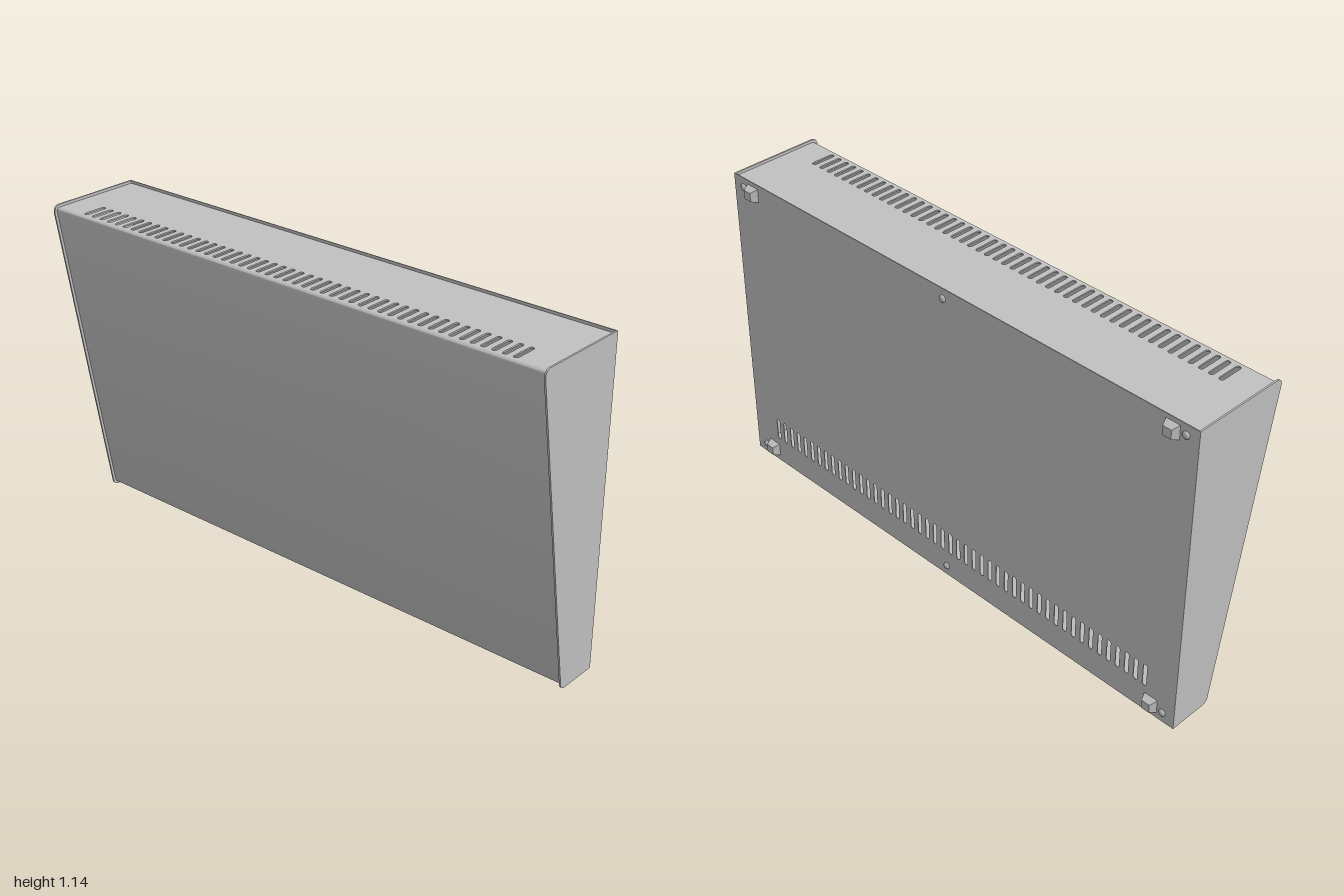
import * as THREE from 'three';
import { toCreasedNormals } from 'three/addons/utils/BufferGeometryUtils.js';

const H = 1.145, BACK = -0.163, R = 0.022;      // height, back plane, corner radius
const SIDE_T = 0.006, INSET = 0.01, WALL = 0.005; // cheek thickness, shell inset and gauge
const TILT = Math.atan(0.1755);                 // lean of the front
const topC = { z: 0.168, y: H - R };            // centres of the two rounded corners
const botC = { z: -0.025, y: R };

export function createModel() {
  const model = new THREE.Group();
  model.name = 'slopedWallCabinet';
  const metal = new THREE.MeshStandardMaterial({ color: 0xc0c0c0 });
  metal.name = 'greyMetal';
  const thinMetal = new THREE.MeshStandardMaterial({ color: 0xc0c0c0, side: THREE.DoubleSide });
  thinMetal.name = 'greyMetalThin';

  const add = (name, geometry, material = metal) => {
    const mesh = new THREE.Mesh(geometry, material);
    mesh.name = name;
    model.add(mesh);
    return mesh;
  };

  // Points down the leaning front, offset inward, from the top corner to the bottom corner
  const frontPoints = (inset) => {
    const pts = [];
    const arc = (c, from, to) => {
      for (let i = 0; i <= 10; i++) {
        const a = from + (to - from) * i / 10;
        pts.push(new THREE.Vector2(c.z + (R - inset) * Math.cos(a), c.y + (R - inset) * Math.sin(a)));
      }
    };
    arc(topC, Math.PI / 2, -TILT);
    arc(botC, -TILT, -Math.PI / 2);
    return pts;
  };

  // Extrudes a (z, y) profile across x, centred on x = 0
  const across = (points, width) => {
    const g = new THREE.ExtrudeGeometry(new THREE.Shape(points), { depth: width, bevelEnabled: false });
    g.rotateY(-Math.PI / 2).translate(width / 2, 0, 0);
    return toCreasedNormals(g, 0.5);
  };

  // Flat plate with a row of round-ended vent slots
  const ventPlate = (halfW, v0, v1, slot0, slot1, slotW, depth) => {
    const s = new THREE.Shape();
    s.moveTo(-halfW, v0).lineTo(halfW, v0).lineTo(halfW, v1).lineTo(-halfW, v1).closePath();
    const r = slotW / 2, count = 48;
    for (let i = 0; i < count; i++) {
      const x = -0.875 + 1.75 * i / (count - 1);
      const hole = new THREE.Path();
      hole.moveTo(x + r, slot0 + r);
      hole.lineTo(x + r, slot1 - r);
      hole.absarc(x, slot1 - r, r, 0, Math.PI, false);
      hole.lineTo(x - r, slot0 + r);
      hole.absarc(x, slot0 + r, r, Math.PI, 2 * Math.PI, false);
      s.holes.push(hole);
    }
    return new THREE.ExtrudeGeometry(s, { depth, bevelEnabled: false, curveSegments: 5 });
  };

  // Side cheeks, standing slightly proud of the shell
  const cheek = [new THREE.Vector2(BACK, H), ...frontPoints(0), new THREE.Vector2(BACK, 0)];
  for (const side of [1, -1]) {
    add(side > 0 ? 'leftCheek' : 'rightCheek', across(cheek, SIDE_T)).position.x = side * (1 - SIDE_T / 2);
  }

  // Bent sheet forming the front, its rounded corners and the bottom
  const innerW = 2 - 2 * SIDE_T;
  add('frontAndBottomShell', across([
    ...frontPoints(INSET),
    new THREE.Vector2(BACK, INSET),
    new THREE.Vector2(BACK, INSET + WALL),
    ...frontPoints(INSET + WALL).reverse(),
  ], innerW));

  // Vented top
  const top = ventPlate(innerW / 2, BACK, topC.z, 0.07, 0.16, 0.017, WALL);
  add('ventedTop', top.rotateX(Math.PI / 2)).position.y = H - INSET;

  // Vented back panel, rising to form lips above the top and below the bottom
  add('ventedBack', ventPlate(1, 0, H, 0.1, 0.187, 0.016, 0.003)).position.z = BACK - 0.003;

  // Tapered hanging bracket, open underneath
  const bracketGeometry = () => {
    const ring = (w, h, z) => [[-w, -h, z], [w, -h, z], [w, h, z], [-w, h, z]];
    const p = [...ring(0.026, 0.025, 0), ...ring(0.016, 0.016, -0.025)];
    const quads = [[1, 2, 6, 5], [2, 3, 7, 6], [3, 0, 4, 7], [4, 5, 6, 7]];
    const pos = quads.flatMap(([a, b, c, d]) => [a, c, b, a, d, c].flatMap((i) => p[i]));
    const g = new THREE.BufferGeometry();
    g.setAttribute('position', new THREE.Float32BufferAttribute(pos, 3));
    g.computeVertexNormals();
    return g;
  };

  // Domed screw head pointing backward
  const screwGeometry = () => {
    const g = new THREE.SphereGeometry(0.013, 14, 5, 0, Math.PI * 2, 0, Math.PI / 2);
    return g.scale(1, 0.7, 1).rotateX(-Math.PI / 2);
  };

  const rear = BACK - 0.003;
  for (const [level, bracketY, screwY] of [['upper', 1.105, 1.109], ['lower', 0.047, 0.037]]) {
    for (const side of [1, -1]) {
      const hand = side > 0 ? 'Left' : 'Right';
      add(level + hand + 'Bracket', bracketGeometry(), thinMetal).position.set(side * 0.905, bracketY, rear);
      add(level + hand + 'Screw', screwGeometry()).position.set(side * 0.953, screwY, rear);
    }
    add(level + 'CentreScrew', screwGeometry()).position.set(0, screwY, rear);
  }
  return model;
}
